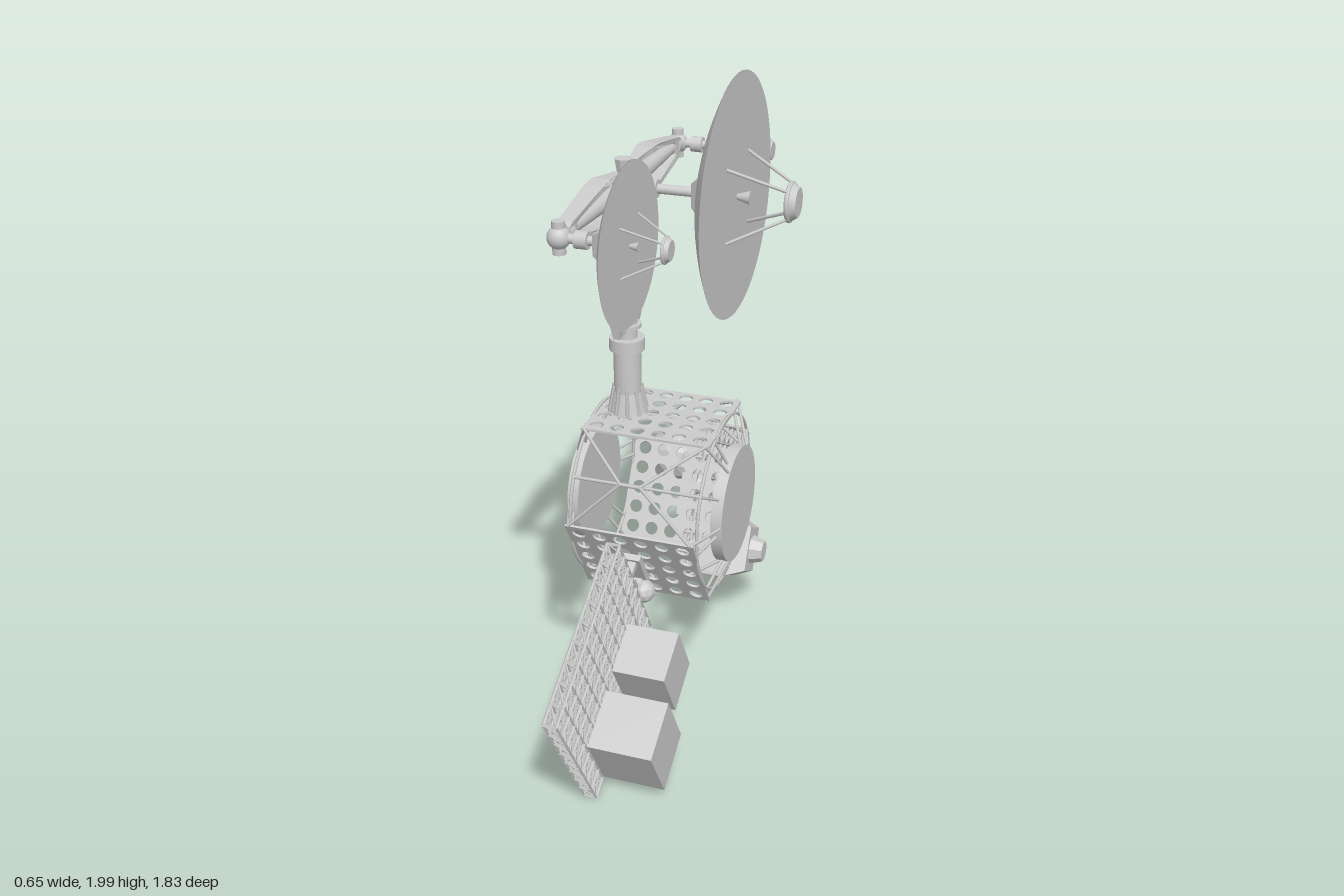
import * as THREE from 'three';
import { mergeGeometries } from 'three/addons/utils/BufferGeometryUtils.js';

const smooth = new THREE.MeshStandardMaterial({ color: 0xcccccc });
const flat = new THREE.MeshStandardMaterial({ color: 0xcccccc, flatShading: true });
const V = (x, y, z) => new THREE.Vector3(x, y, z);
const UP = V(0, 1, 0);

function add(parent, name, geometry, x = 0, y = 0, z = 0, material = smooth) {
  const mesh = new THREE.Mesh(geometry, material);
  mesh.name = name;
  mesh.position.set(x, y, z);
  parent.add(mesh);
  return mesh;
}

function group(parent, name, x = 0, y = 0, z = 0) {
  const g = new THREE.Group();
  g.name = name;
  g.position.set(x, y, z);
  parent.add(g);
  return g;
}

const box = (x, y, z) => new THREE.BoxGeometry(x, y, z);
const cyl = (r1, r2, h, n = 24) => new THREE.CylinderGeometry(r1, r2, h, n);
// Cylinder lying along x, its top radius towards +x
const cylX = (r1, r2, h, n = 24) => cyl(r1, r2, h, n).rotateZ(-Math.PI / 2);
// Four-sided frustum along x: outer half-size a, inner half-size b
const frustumX = (a, b, h) =>
  new THREE.CylinderGeometry(a * Math.SQRT2, b * Math.SQRT2, h, 4).rotateY(Math.PI / 4).rotateZ(-Math.PI / 2);

function beam(a, b, r, n = 4) {
  const d = b.clone().sub(a);
  const g = new THREE.CylinderGeometry(r, r, d.length(), n, 1);
  g.applyQuaternion(new THREE.Quaternion().setFromUnitVectors(UP, d.normalize()));
  const m = a.clone().add(b).multiplyScalar(0.5);
  return g.translate(m.x, m.y, m.z);
}

// Dish facing +x with the rim at the origin
function dish(parent, name, x, z, s, depth, hubSize) {
  const R = 0.345 * s, g = group(parent, name, x, 1.655, z);
  const profile = [];
  for (let i = 0; i <= 10; i++) profile.push(new THREE.Vector2(R * i / 10, depth * ((i / 10) ** 2 - 1)));
  add(g, 'reflectorBack', new THREE.LatheGeometry(profile, 56).rotateZ(-Math.PI / 2), 0, 0, 0,
    new THREE.MeshStandardMaterial({ color: 0xcccccc, side: THREE.DoubleSide }));
  add(g, 'reflectorFace', new THREE.CircleGeometry(R, 56).rotateY(Math.PI / 2), 0.001);
  add(g, 'hub', frustumX(hubSize, hubSize * 0.5, 0.05), -depth - 0.01, 0, 0, flat);
  const struts = [];
  for (const i of [-1, 1]) for (const j of [-1, 1])
    struts.push(beam(V(0, i * 0.105 * s, j * 0.105 * s), V(0.16 * s, i * 0.036 * s, j * 0.036 * s), 0.005 * s, 6));
  add(g, 'feedStruts', mergeGeometries(struts));
  add(g, 'feedCap', cylX(0.042 * s, 0.058 * s, 0.025 * s), 0.165 * s);
  add(g, 'feedRim', new THREE.TorusGeometry(0.052 * s, 0.007 * s, 8, 28).rotateY(Math.PI / 2), 0.154 * s);
  add(g, 'feedHorn', cylX(0.02 * s, 0.008 * s, 0.04 * s, 16), 0.02 * s);
}

// Long yoke rising along +y: a tapered frame with an opening, w wide
function yoke(parent, name, w) {
  const g = group(parent, name);
  const outline = (k, y0, y1) => [[-0.8 * w * k, y0], [0.8 * w * k, y0], [w * k, 0.11], [w * 0.95 * k, 0.17],
    [w * 0.45 * k, y1 - 0.02], [w * 0.3 * k, y1], [-w * 0.3 * k, y1], [-w * 0.45 * k, y1 - 0.02],
    [-w * 0.95 * k, 0.17], [-w * k, 0.11]].map(p => new THREE.Vector2(...p));
  const shape = new THREE.Shape(outline(1, 0, 0.39));
  shape.holes.push(new THREE.Path(outline(0.76, 0.018, 0.34)));
  const geo = new THREE.ExtrudeGeometry(shape, { depth: 0.056, bevelEnabled: false }).translate(0, 0, -0.028);
  // Thin foot and slightly slimmer tip
  const p = geo.attributes.position;
  for (let i = 0; i < p.count; i++) {
    const y = p.getY(i);
    p.setZ(i, p.getZ(i) * (y < 0.05 ? 0.35 : y > 0.3 ? 0.75 : 1));
  }
  add(g, 'yokeFrame', geo.rotateY(Math.PI / 2), 0, 0, 0, flat);
  add(g, 'yokeCore', cyl(0.016, 0.03, 0.41, 12), 0, 0.195);
  add(g, 'yokeCollar', cyl(0.027, 0.027, 0.03), 0, 0.375);
  return g;
}

// Wide flat lattice: y is radial, z is tangential
function latticePanel(parent) {
  const bars = [], y0 = 0.343, y1 = 0.905, h = 0.253, ny = 9, nz = 8, r = 0.0045;
  const Y = i => y0 + (y1 - y0) * i / ny, Z = j => -h + 2 * h * j / nz;
  for (const x of [-0.021, 0.017]) {
    for (let i = 0; i <= ny; i++) bars.push(beam(V(x, Y(i), -h), V(x, Y(i), h), r));
    for (let j = 0; j <= nz; j++) bars.push(beam(V(x, y0, Z(j)), V(x, y1, Z(j)), r));
    for (let i = 0; i < ny; i++) for (let j = 0; j < nz; j++) {
      bars.push(beam(V(x, Y(i), Z(j)), V(x, Y(i + 1), Z(j + 1)), r * 0.8));
      bars.push(beam(V(x, Y(i + 1), Z(j)), V(x, Y(i), Z(j + 1)), r * 0.8));
    }
  }
  // Posts and diagonals between the two layers
  for (let i = 0; i <= ny; i++) for (let j = 0; j <= nz; j++) {
    bars.push(beam(V(-0.021, Y(i), Z(j)), V(0.017, Y(i), Z(j)), r));
    if (i < ny) bars.push(beam(V(-0.021, Y(i), Z(j)), V(0.017, Y(i + 1), Z(j)), r * 0.7));
    if (j < nz) bars.push(beam(V(-0.021, Y(i), Z(j)), V(0.017, Y(i), Z(j + 1)), r * 0.7));
  }
  add(parent, 'latticePanel', mergeGeometries(bars), 0, 0, 0, flat);
  // Arms holding the panel to the body
  for (const z of [-0.05, 0.05]) add(parent, 'panelArm', box(0.025, 0.14, 0.02), 0, 0.325, z);
  add(parent, 'panelHinge', box(0.05, 0.02, 0.14), 0, 0.28, 0);
  add(parent, 'panelBracket', box(0.03, 0.05, 0.05), 0, 0.35, 0);
}

function perforatedPlate(parent) {
  const s = new THREE.Shape([[-0.2, -0.165], [0.2, -0.165], [0.2, 0.165], [-0.2, 0.165]].map(p => new THREE.Vector2(...p)));
  for (let i = 0; i < 6; i++) for (let j = 0; j < 5; j++)
    s.holes.push(new THREE.Path().absarc(-0.1625 + i * 0.065, -0.13 + j * 0.065, 0.021, 0, Math.PI * 2, true));
  const geo = new THREE.ExtrudeGeometry(s, { depth: 0.007, bevelEnabled: false, curveSegments: 8 });
  add(parent, 'perforatedPlate', geo.rotateX(Math.PI / 2), 0, 0.265);
}

export function createModel() {
  const root = new THREE.Group();
  root.name = 'antennaSatellite';
  const body = group(root, 'body', -0.08, 0.683, 0);

  // Open drum frame: end discs, rings and spokes
  const frame = [], polar = (x, r, deg) => V(x, r * Math.cos(deg * Math.PI / 180), r * Math.sin(deg * Math.PI / 180));
  for (const s of [-1, 1]) {
    add(body, 'endDisc', cylX(0.181, 0.181, 0.035, 48), s * 0.228);
    add(body, 'endRing', new THREE.TorusGeometry(0.272, 0.005, 6, 60).rotateY(Math.PI / 2), s * 0.198);
    for (let k = 0; k < 3; k++) for (const a of [-22, 22, 60])
      frame.push(beam(polar(s * 0.198, 0.272, a + k * 120), polar(s * 0.228, 0.178, a + k * 120), 0.005, 6));
  }
  // Bowed braces between neighbouring plates
  for (let k = 0; k < 3; k++) {
    const c = 60 + k * 120;
    frame.push(beam(polar(-0.2, 0.272, c), polar(0.2, 0.272, c), 0.005, 6));
    frame.push(beam(polar(-0.03, 0.333, c), polar(0.03, 0.333, c), 0.006, 6));
    for (const s of [-1, 1]) for (const t of [-28, 28]) {
      frame.push(beam(polar(s * 0.19, 0.31, c + t), polar(s * 0.03, 0.333, c), 0.005, 6));
      frame.push(beam(polar(s * 0.19, 0.31, c + t), polar(s * 0.24, 0.18, c + t), 0.005, 6));
    }
  }
  add(body, 'frameBars', mergeGeometries(frame));

  // Three plates around the drum, lattice panels on the lower two
  const sides = [0, 120, -120].map((deg, i) => {
    const g = group(body, ['topSide', 'frontSide', 'backSide'][i]);
    g.rotation.x = deg * Math.PI / 180;
    perforatedPlate(g);
    if (i) latticePanel(g);
    return g;
  });
  const [, front, back] = sides;

  // Equipment on the front panel
  add(front, 'innerBox', box(0.16, 0.155, 0.2), 0.1, 0.529, 0.123);
  add(front, 'outerBox', box(0.19, 0.175, 0.222), 0.115, 0.753, 0.14);
  add(front, 'hingeBall', new THREE.IcosahedronGeometry(0.036, 1), 0.02, 0.315, 0.07, flat);

  // Equipment on both faces of the back panel
  add(back, 'instrumentBox', box(0.1, 0.16, 0.2), 0.07, 0.55, -0.153);
  add(back, 'instrumentRoof', frustumX(0.06, 0.08, 0.06), 0.15, 0.55, -0.153, flat).scale.z = 1.25;
  add(back, 'instrumentCap', cylX(0.036, 0.05, 0.045, 8), 0.2, 0.55, -0.153, flat);
  add(back, 'facetedTank', new THREE.IcosahedronGeometry(0.096, 1), -0.118, 0.466, 0.133, flat);
  add(back, 'tankMount', cylX(0.06, 0.04, 0.05, 8), -0.035, 0.466, 0.133, flat);
  add(back, 'sensorBase', cylX(0.088, 0.088, 0.07, 8), -0.055, 0.7, -0.142, flat);
  add(back, 'sensorHead', cylX(0.075, 0.05, 0.035, 8), -0.105, 0.7, -0.142, flat);
  add(back, 'hingeBall', new THREE.IcosahedronGeometry(0.036, 1), 0.02, 0.315, 0.04, flat);

  // Mast with a finned foot
  const mast = group(root, 'mast', -0.19, 0, 0);
  add(mast, 'mastFoot', cyl(0.044, 0.06, 0.07), 0, 0.978);
  add(mast, 'mastTube', cyl(0.042, 0.042, 0.21), 0, 1.055);
  add(mast, 'mastCollar', cyl(0.054, 0.054, 0.038), 0, 1.17);
  add(mast, 'mastNeck', cyl(0.032, 0.032, 0.12), 0, 1.25);
  add(mast, 'mastFlange', cyl(0.044, 0.044, 0.012), 0, 1.228);
  for (let i = 0; i < 10; i++) {
    const a = i * Math.PI / 5, c = Math.cos(a), s = Math.sin(a);
    add(mast, 'footFin', beam(V(c * 0.06, 0.945, s * 0.06), V(c * 0.043, 1.03, s * 0.043), 0.006));
  }
  yoke(mast, 'mastYoke', 0.108).position.y = 1.213;

  // Central joint on the mast
  add(mast, 'jointDrum', cylX(0.036, 0.036, 0.075), 0, 1.655);
  add(mast, 'jointNeck', cyl(0.028, 0.022, 0.05), 0, 1.615);
  add(mast, 'jointCross', cyl(0.022, 0.022, 0.17).rotateX(Math.PI / 2), 0, 1.655);
  add(mast, 'jointCap', cyl(0.028, 0.02, 0.045, 8), 0, 1.712, 0, flat);
  add(mast, 'mainAxle', cylX(0.014, 0.014, 0.25), 0.12, 1.655);
  add(mast, 'axleCollar', cylX(0.026, 0.026, 0.045), 0.08, 1.655);

  // Side arms and their joints
  for (const s of [-1, 1]) {
    const arm = yoke(mast, 'sideArm', 0.068);
    arm.position.set(0, 1.655, s * 0.06);
    arm.rotation.x = s * Math.PI / 2;
    const joint = group(mast, 'armJoint', 0, 1.655, s * 0.475);
    add(joint, 'jointBall', new THREE.SphereGeometry(0.032, 20, 14));
    add(joint, 'jointPin', cyl(0.018, 0.018, 0.09, 16));
    add(joint, 'dishAxle', cylX(0.013, 0.013, 0.13), 0.065);
    add(joint, 'axleCollar', cylX(0.024, 0.024, 0.035), 0.065);
    dish(root, 'smallDish', 0.005, s * 0.48, 0.632, 0.055, 0.055);
  }
  dish(root, 'mainDish', 0.145, 0, 1, 0.088, 0.07);
  return root;
}
